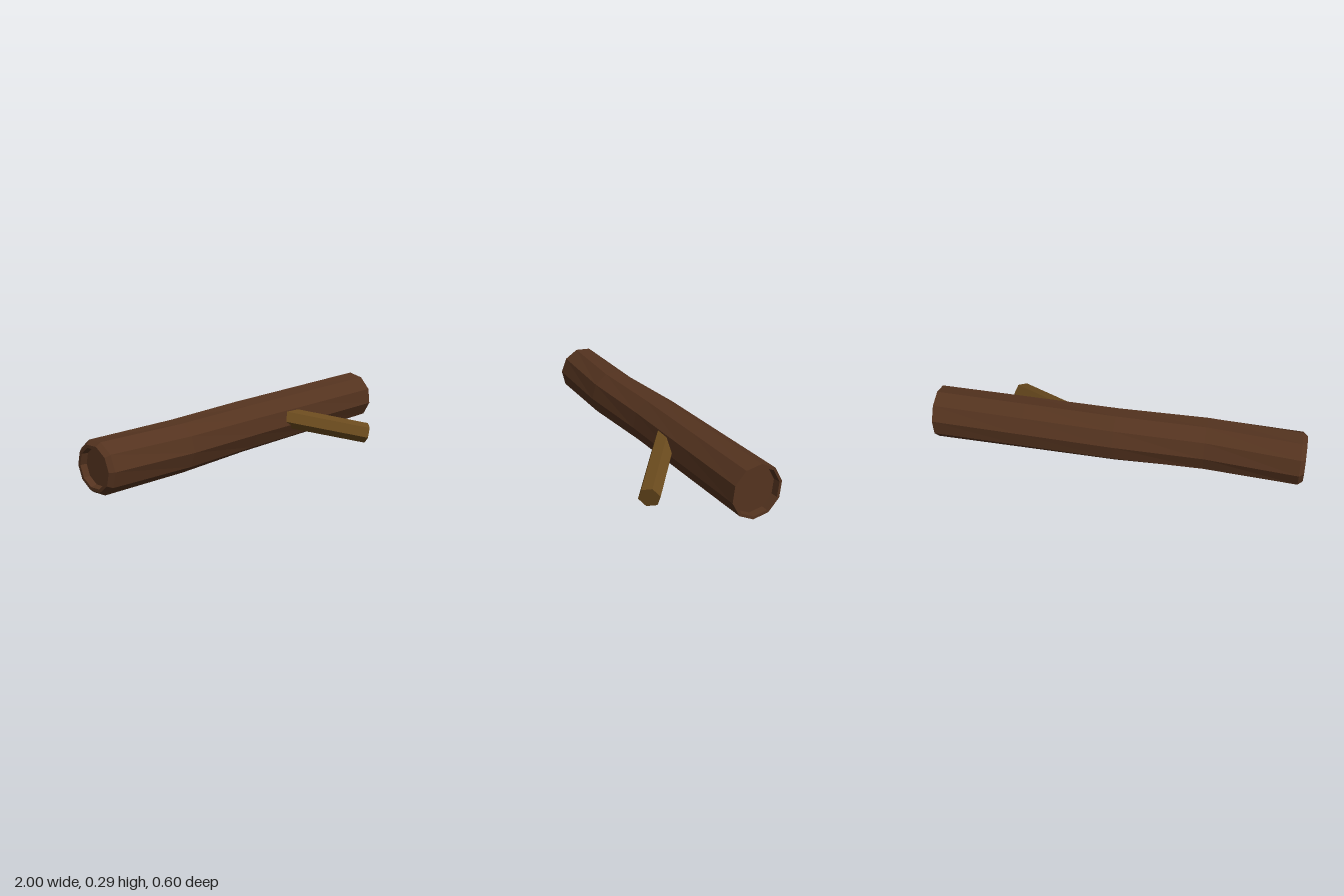
import * as THREE from 'three';

const SIDES = 10;
const CENTRE_Y = 0.151;

// Faceted skin along x. Each ring is [x, z centre, radius, twist].
function loftAlongX(rings) {
  const positions = [];
  const index = [];
  for (const [x, z, radius, twist] of rings) {
    for (let i = 0; i < SIDES; i++) {
      const a = (i / SIDES) * Math.PI * 2 + twist;
      positions.push(x, CENTRE_Y + Math.cos(a) * radius, z - Math.sin(a) * radius);
    }
  }
  for (let r = 0; r < rings.length - 1; r++) {
    for (let i = 0; i < SIDES; i++) {
      const j = (i + 1) % SIDES;
      const a = r * SIDES + i, b = r * SIDES + j;
      const c = a + SIDES, d = b + SIDES;
      index.push(a, c, b, b, c, d);
    }
  }
  const geometry = new THREE.BufferGeometry();
  geometry.setAttribute('position', new THREE.Float32BufferAttribute(positions, 3));
  geometry.setIndex(index);
  const flat = geometry.toNonIndexed();
  flat.computeVertexNormals();
  return flat;
}

function addMesh(group, name, geometry, material) {
  const mesh = new THREE.Mesh(geometry, material);
  mesh.name = name;
  group.add(mesh);
}

export function createModel() {
  const group = new THREE.Group();
  group.name = 'log';
  const bark = new THREE.MeshStandardMaterial({ color: 0x54331f, flatShading: true });
  const twigWood = new THREE.MeshStandardMaterial({ color: 0x6b4b1e, flatShading: true });

  // Gently bent trunk, including the rims and recess walls at both ends
  addMesh(group, 'trunk', loftAlongX([
    [-0.965, -0.163, 0.1, 0.37],
    [-1, -0.163, 0.105, 0.37],
    [-1, -0.163, 0.122, 0.37],
    [-0.975, -0.164, 0.142, 0.37],
    [-0.48, -0.137, 0.142, 0.28],
    [0, -0.151, 0.142, 0.2],
    [0.5, -0.142, 0.142, 0.16],
    [1, -0.134, 0.142, 0.12],
    [1, -0.134, 0.127, 0.12],
    [0.96, -0.134, 0.124, 0.12],
  ]), bark);

  // Recessed cut faces
  addMesh(group, 'rightCutFace', loftAlongX([
    [-0.965, -0.163, 0, 0.37], [-0.965, -0.163, 0.1, 0.37],
  ]), bark);
  addMesh(group, 'leftCutFace', loftAlongX([
    [0.96, -0.134, 0.124, 0.12], [0.96, -0.134, 0, 0.12],
  ]), bark);

  // Six-sided branch stub sloping down to the ground
  const start = new THREE.Vector3(0.25, 0.178, -0.077);
  const tip = new THREE.Vector3(0.648, 0.056, 0.25);
  const along = tip.clone().sub(start);
  const length = along.length();
  along.normalize();
  const side = new THREE.Vector3().crossVectors(along, new THREE.Vector3(0, 1, 0)).normalize();
  const up = new THREE.Vector3().crossVectors(side, along);
  const branch = new THREE.CylinderGeometry(0.058, 0.058, length, 6);
  branch.rotateY(-0.3);
  branch.applyMatrix4(new THREE.Matrix4().makeBasis(side, along, up));
  const middle = start.add(tip).multiplyScalar(0.5);
  branch.translate(middle.x, middle.y, middle.z);
  addMesh(group, 'branch', branch, twigWood);

  return group;
}
